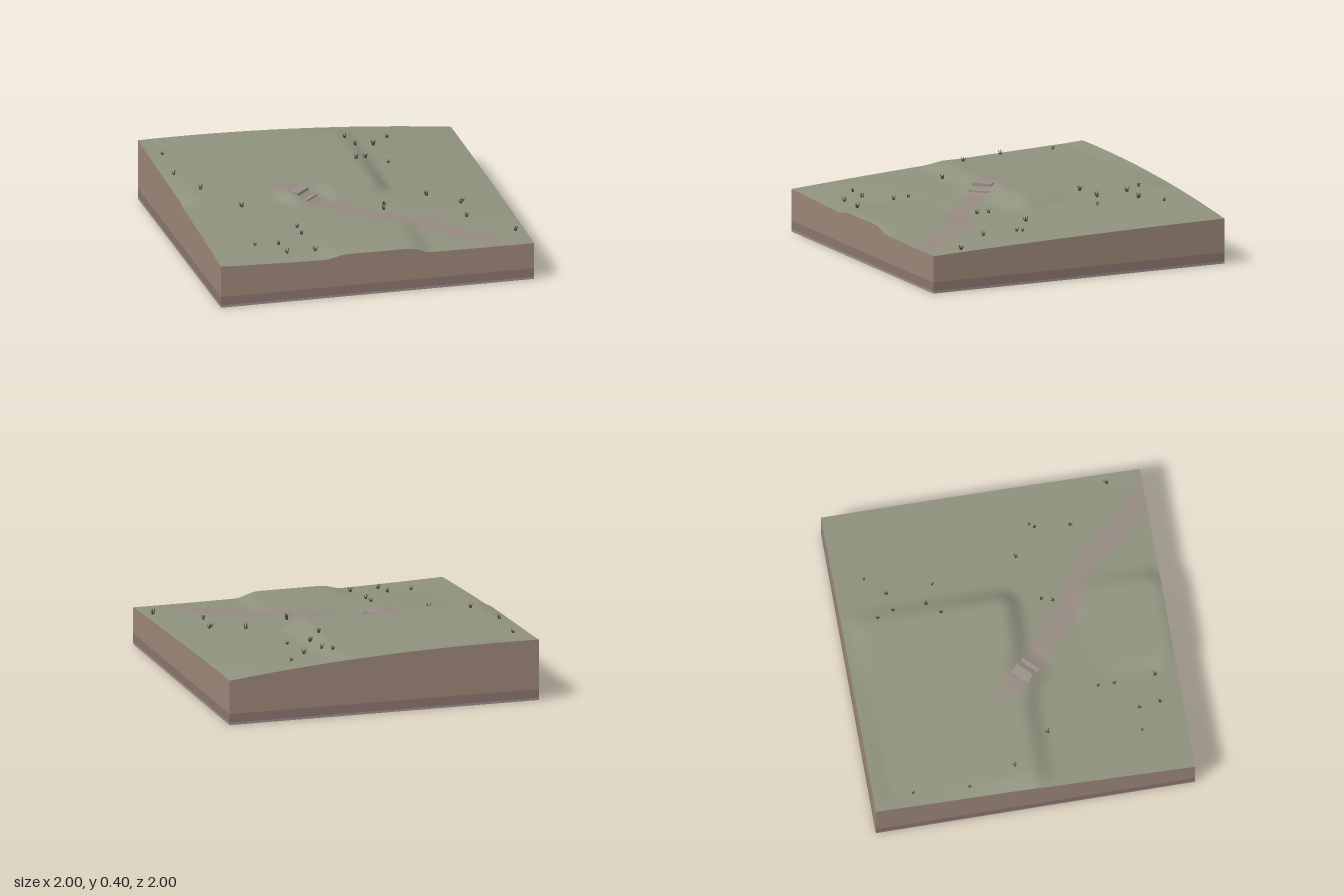
import * as THREE from 'three';
import { mergeGeometries } from 'three/addons/utils/BufferGeometryUtils.js';

const N = 64; // terrain cells per side
const { smoothstep, lerp } = THREE.MathUtils;
const mat = (color, side = THREE.FrontSide) => new THREE.MeshStandardMaterial({ color, side });

// Distance outside a rounded rectangle (negative inside)
function rectDistance(x, z, [x0, x1, z0, z1], r) {
  const dx = Math.abs(x - (x0 + x1) / 2) - (x1 - x0) / 2 + r;
  const dz = Math.abs(z - (z0 + z1) / 2) - (z1 - z0) / 2 + r;
  return Math.hypot(Math.max(dx, 0), Math.max(dz, 0)) + Math.min(Math.max(dx, dz), 0) - r;
}

// Ground height: tilted slope, two levelled pads and a ramp between them
function height(x, z) {
  const u = (x + 1) / 2, v = (z + 1) / 2;
  let h = lerp(lerp(0.386, 0.284, u), lerp(0.27, 0.236, u), v);
  h += (1 - x * x) * lerp(0.033, -0.009, v) + 0.008 * (1 - z * z);

  const terrace = 1 - smoothstep(rectDistance(x, z, [-0.9, 0.22, -0.86, 0.0], 0.01), 0, 0.14);
  h = lerp(h, 0.371, terrace);
  const mound = 1 - smoothstep(rectDistance(x, z, [-0.24, 0.24, 0.52, 0.96], 0.06), 0, 0.13);
  h = lerp(h, 0.285, mound);

  const along = (x + z + 0.15) / Math.SQRT2, across = Math.abs(x - z + 0.3) / Math.SQRT2;
  const ramp = (1 - smoothstep(across, 0.07, 0.14)) * (1 - smoothstep(Math.abs(along), 0.12, 0.22));
  return lerp(h, lerp(0.37, 0.3, smoothstep(along, -0.1, 0.16)), ramp);
}

// Distance from a point to the path's centre line
const pathPoints = new THREE.CatmullRomCurve3([
  [-0.33, -0.03], [-0.08, 0.2], [0.12, 0.38], [0.38, 0.52], [0.58, 0.73], [0.86, 1.02],
].map(([x, z]) => new THREE.Vector3(x, 0, z))).getPoints(60);
const pathDistance = (x, z) => Math.min(...pathPoints.map(p => Math.hypot(p.x - x, p.z - z)));

// Grass, path border and path share one smooth height grid
function buildGround() {
  const grid = new THREE.PlaneGeometry(2, 2, N, N).rotateX(-Math.PI / 2);
  const p = grid.attributes.position;
  for (let i = 0; i < p.count; i++) p.setY(i, height(p.getX(i), p.getZ(i)));
  grid.computeVertexNormals();

  const parts = { grass: [], pathBorder: [], path: [] };
  const idx = grid.index.array;
  for (let i = 0; i < idx.length; i += 3) {
    const tri = [idx[i], idx[i + 1], idx[i + 2]];
    const cx = tri.reduce((s, k) => s + p.getX(k), 0) / 3;
    const cz = tri.reduce((s, k) => s + p.getZ(k), 0) / 3;
    const d = pathDistance(cx, cz);
    parts[d < 0.055 ? 'path' : d < 0.085 ? 'pathBorder' : 'grass'].push(...tri);
  }
  const colors = { grass: 0x8e917c, pathBorder: 0x918e7d, path: 0x958a80 };
  return Object.entries(parts).map(([name, index]) => {
    const g = grid.clone();
    g.setIndex(index);
    const mesh = new THREE.Mesh(g, mat(colors[name]));
    mesh.name = name;
    return mesh;
  });
}

// One soil layer: four walls between two height functions
function wallBand(low, high) {
  const walls = [];
  for (let s = 0; s < 4; s++) {
    const a = s * Math.PI / 2, c = Math.round(Math.cos(a)), n = Math.round(Math.sin(a));
    const g = new THREE.PlaneGeometry(2, 1, N, 1);
    const p = g.attributes.position, nor = g.attributes.normal;
    for (let i = 0; i < p.count; i++) {
      const t = p.getX(i), x = t * c + n, z = -t * n + c;
      p.setXYZ(i, x, p.getY(i) > 0 ? high(x, z) : low(x, z), z);
      nor.setXYZ(i, n, 0, c);
    }
    walls.push(g);
  }
  return mergeGeometries(walls);
}

// A tuft of tapered, outward-leaning blades
function tuftGeometry() {
  const blades = [];
  for (let i = 0; i < 5; i++) {
    const b = new THREE.ConeGeometry(0.0045, 0.032 + 0.004 * (i % 3), 3);
    b.translate(0, 0.016, 0).rotateZ(-0.2 - 0.13 * (i % 3));
    blades.push(b.translate(0.004, 0, 0).rotateY(i * Math.PI * 0.4));
  }
  return mergeGeometries(blades);
}

export function createModel() {
  const model = new THREE.Group();
  model.name = 'terrainTile';
  const add = (name, geometry, material) => {
    const mesh = new THREE.Mesh(geometry, material);
    mesh.name = name;
    model.add(mesh);
    return mesh;
  };

  model.add(...buildGround());

  // Soil layers and underside
  const level = y => () => y;
  add('topSoil', wallBand(level(0.07), height), mat(0x9b8577));
  add('subSoil', wallBand(level(0.015), level(0.07)), mat(0x8a736c));
  add('bedrock', wallBand(level(0), level(0.015)), mat(0x9b8d87));
  add('underside', new THREE.PlaneGeometry(2, 2).rotateX(Math.PI / 2), mat(0x857c70));

  // Two stone steps climbing to the terrace
  const stone = mat(0x969089);
  const slab = new THREE.BoxGeometry(0.127, 0.028, 0.065);
  [[-0.25, 0.354, 0.047], [-0.205, 0.32, 0.092]].forEach(([x, y, z], i) => {
    const step = add(i ? 'lowerStep' : 'upperStep', slab, stone);
    step.position.set(x, y, z);
    step.rotation.y = Math.PI / 4;
  });

  // Scattered grass tufts
  const tuft = tuftGeometry(), tuftMat = mat(0x4a4d3c);
  const spots = [
    [-0.91, -0.75], [-0.93, -0.4], [-0.84, -0.1], [-0.64, 0.14], [-0.71, 0.72], [-0.56, 0.73],
    [-0.54, 0.86], [-0.36, 0.86], [-0.38, 0.5], [-0.38, 0.6], [0.23, -0.38], [0.31, -0.46],
    [0.44, -0.4], [0.26, -0.77], [0.3, -0.67], [0.42, -0.69], [0.54, -0.81], [0.24, 0.25],
    [0.22, 0.32], [0.54, 0.14], [0.74, 0.26], [0.72, 0.29], [0.7, 0.51], [0.94, 0.78],
  ];
  spots.forEach(([x, z], i) => {
    const t = add('grassTuft', tuft, tuftMat);
    t.position.set(x, height(x, z) - 0.002, z);
    t.rotation.y = i * 2.4;
    t.scale.setScalar(0.85 + 0.1 * (i % 4));
  });

  return model;
}
